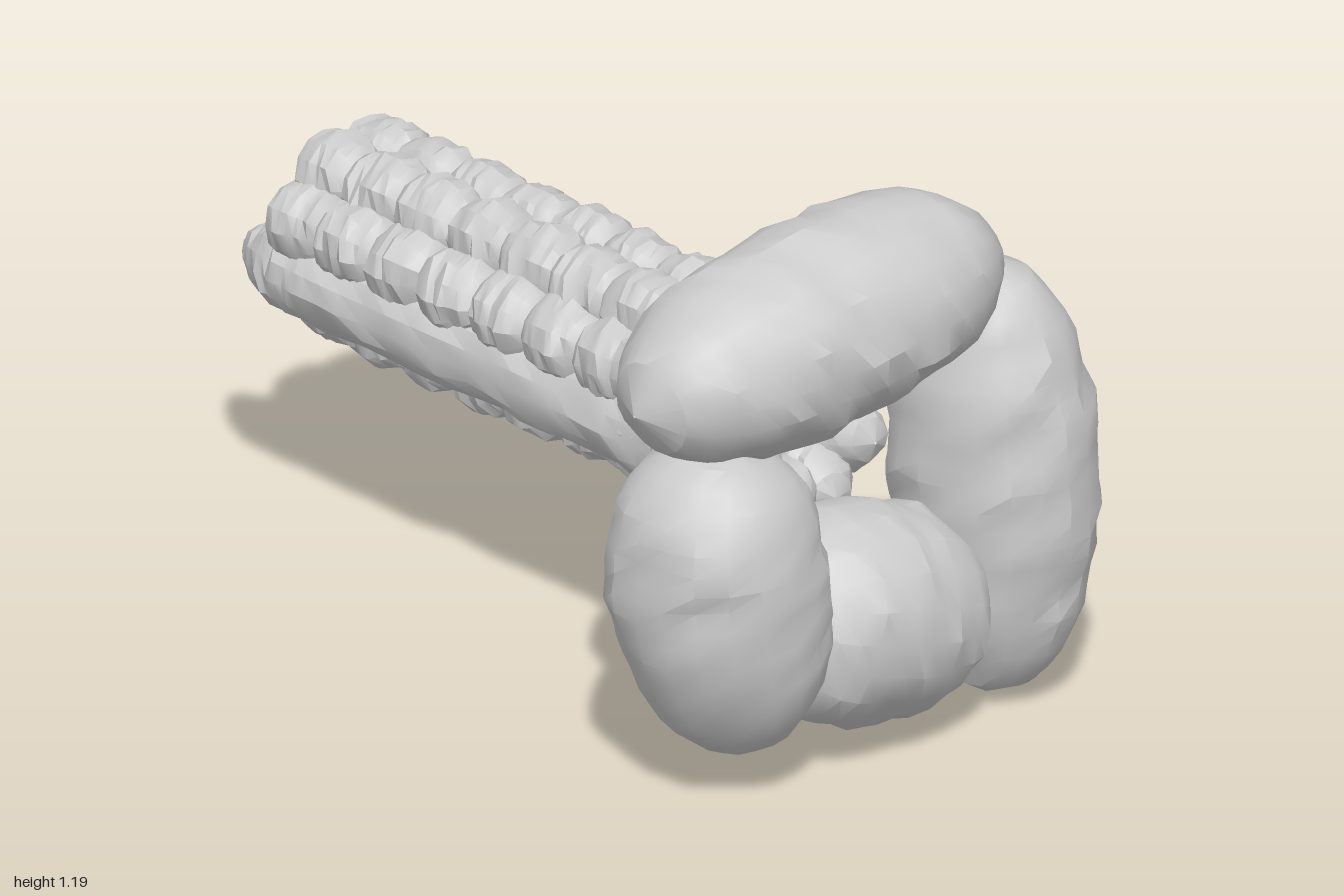
import * as THREE from 'three';
import { toCreasedNormals } from 'three/addons/utils/BufferGeometryUtils.js';

const material = new THREE.MeshStandardMaterial({ color: 0xcccccc });

// Repeatable value in -1..1
function hash(a, b, c) {
  const s = Math.sin(a * 127.1 + b * 311.7 + c * 74.7) * 43758.5453;
  return (s - Math.floor(s)) * 2 - 1;
}

// Lumpy skin swept along a curve; radius(t) may fall to zero at the ends
function loft(name, curve, radius, { rows, sides, ref, rough, seed, depth = 1 }) {
  const pos = [], index = [];
  for (let i = 0; i <= rows; i++) {
    const t = i / rows;
    const center = curve.getPoint(t), along = curve.getTangent(t);
    const side = new THREE.Vector3().crossVectors(along, ref).normalize();
    const up = new THREE.Vector3().crossVectors(side, along).normalize();
    for (let j = 0; j < sides; j++) {
      const a = (j / sides) * Math.PI * 2;
      const patch = hash(i >> 1, j >> 1, seed), grain = hash(i, j, seed + 9);
      const r = Math.max(radius(t), 0.003) * (1 + rough * (0.6 * patch + 0.4 * grain));
      const p = center.clone()
        .addScaledVector(side, r * Math.cos(a))
        .addScaledVector(up, r * depth * Math.sin(a));
      pos.push(p.x, p.y, p.z);
      if (i < rows) {
        const k = (j + 1) % sides;
        const A = i * sides + j, B = i * sides + k;
        index.push(A, A + sides, B, B, A + sides, B + sides);
      }
    }
  }
  const geo = new THREE.BufferGeometry();
  geo.setAttribute('position', new THREE.Float32BufferAttribute(pos, 3));
  geo.setIndex(index);
  const mesh = new THREE.Mesh(toCreasedNormals(geo, 0.5), material);
  mesh.name = name;
  return mesh;
}

const V = (x, y, z) => new THREE.Vector3(x, y, z);
const Z = V(0, 0, 1), Y = V(0, 1, 0);

// Rounded spindle profile; a higher p gives blunter ends
const spindle = (r, p = 2.2) => t => r * Math.sqrt(Math.max(0, 1 - Math.abs(2 * t - 1) ** p));

export function createModel() {
  const model = new THREE.Group();
  model.name = 'lumpyRingAndStalk';

  // Four big lobes arranged in a ring at the front
  const ring = new THREE.Group();
  ring.name = 'lobeRing';
  const lobes = [
    ['topLobe', [-0.6, 0.91], [-0.1, 0.975], [0.375, 1.01], 0.217, 2.5, 22],
    ['leftLobe', [0.375, 0.0], [0.42, 0.48], [0.37, 0.98], 0.204, 2.3, 22],
    ['rightLobe', [-0.36, 0.79], [-0.42, 0.5], [-0.27, 0.09], 0.225, 2.6, 18],
    ['bottomLobe', [-0.28, 0.36], [0.02, 0.28], [0.3, 0.23], 0.235, 2.8, 14],
  ];
  lobes.forEach(([name, a, b, c, r, p, rows], i) => {
    const curve = new THREE.QuadraticBezierCurve3(V(...a, 0.752), V(...b, 0.752), V(...c, 0.752));
    ring.add(loft(name, curve, spindle(r, p), {
      rows, sides: 20, ref: Z, rough: 0.06, seed: i + 1, depth: 0.23 / r,
    }));
  });
  model.add(ring);

  // Strand positions lie on a circle around the stalk's hollow axis
  const strands = 8;
  const around = (k, r, z, turn = 0) => {
    const a = ((k + 0.5) / strands) * Math.PI * 2 + turn;
    return V(0.03 + r * Math.cos(a), 0.635 + r * Math.sin(a), z);
  };

  // Hollow stalk of beaded strands running backwards
  const stalk = new THREE.Group();
  stalk.name = 'beadedStalk';
  const beads = 7;
  const bead = t => {
    const end = Math.min(1, t * 40, (1 - t) * 40);
    return 0.09 * (0.66 + 0.34 * Math.sqrt(Math.abs(Math.sin(t * beads * Math.PI)))) * Math.sqrt(end);
  };
  for (let k = 0; k < strands; k++) {
    if (k === 4) continue; // taken by the tail strand
    const back = -0.86 + 0.02 * Math.abs(hash(k, 1, 3));
    stalk.add(loft('beadStrand' + k,
      new THREE.LineCurve3(around(k, 0.155, 0.25), around(k, 0.155, back)), bead,
      { rows: 70, sides: 12, ref: Y, rough: 0.13, seed: 20 + k }));
  }

  // Smooth strand with a pointed tail
  const tail = new THREE.CatmullRomCurve3([
    V(-0.12, 0.57, 0.52), V(-0.118, 0.575, 0), V(-0.118, 0.575, -0.7), V(-0.105, 0.575, -0.88), V(-0.065, 0.555, -1),
  ]);
  const taper = t => (t === 1 ? 0 : 0.084 * Math.min(1, Math.sqrt(t * 20), 0.25 + (1 - t) * 2.4));
  stalk.add(loft('tailStrand', tail, taper,
    { rows: 40, sides: 14, ref: Y, rough: 0.12, seed: 40, depth: 1.1 }));

  // Irregular nodules joining the stalk to the ring and narrowing its mouth
  for (let k = 0; k < strands; k++) {
    const turn = 0.2 * hash(k, 5, 2);
    const rear = new THREE.LineCurve3(around(k, 0.15, 0.12), around(k, 0.165, 0.42, turn));
    stalk.add(loft('rearNodule' + k, rear, spindle(0.078),
      { rows: 14, sides: 12, ref: Y, rough: 0.16, seed: 50 + k }));
    const reach = k === 1 || k === 2 ? 0.275 : 0.24;
    const radial = new THREE.LineCurve3(around(k, 0.05, 0.42), around(k, reach, 0.37, turn));
    stalk.add(loft('radialNodule' + k, radial, spindle(0.08),
      { rows: 12, sides: 12, ref: Z, rough: 0.16, seed: 70 + k }));
    const front = new THREE.LineCurve3(around(k, 0.155, 0.38, turn), around(k, 0.15, 0.64, -turn));
    stalk.add(loft('frontNodule' + k, front, spindle(0.085),
      { rows: 12, sides: 12, ref: Y, rough: 0.16, seed: 60 + k }));
  }
  model.add(stalk);
  return model;
}
